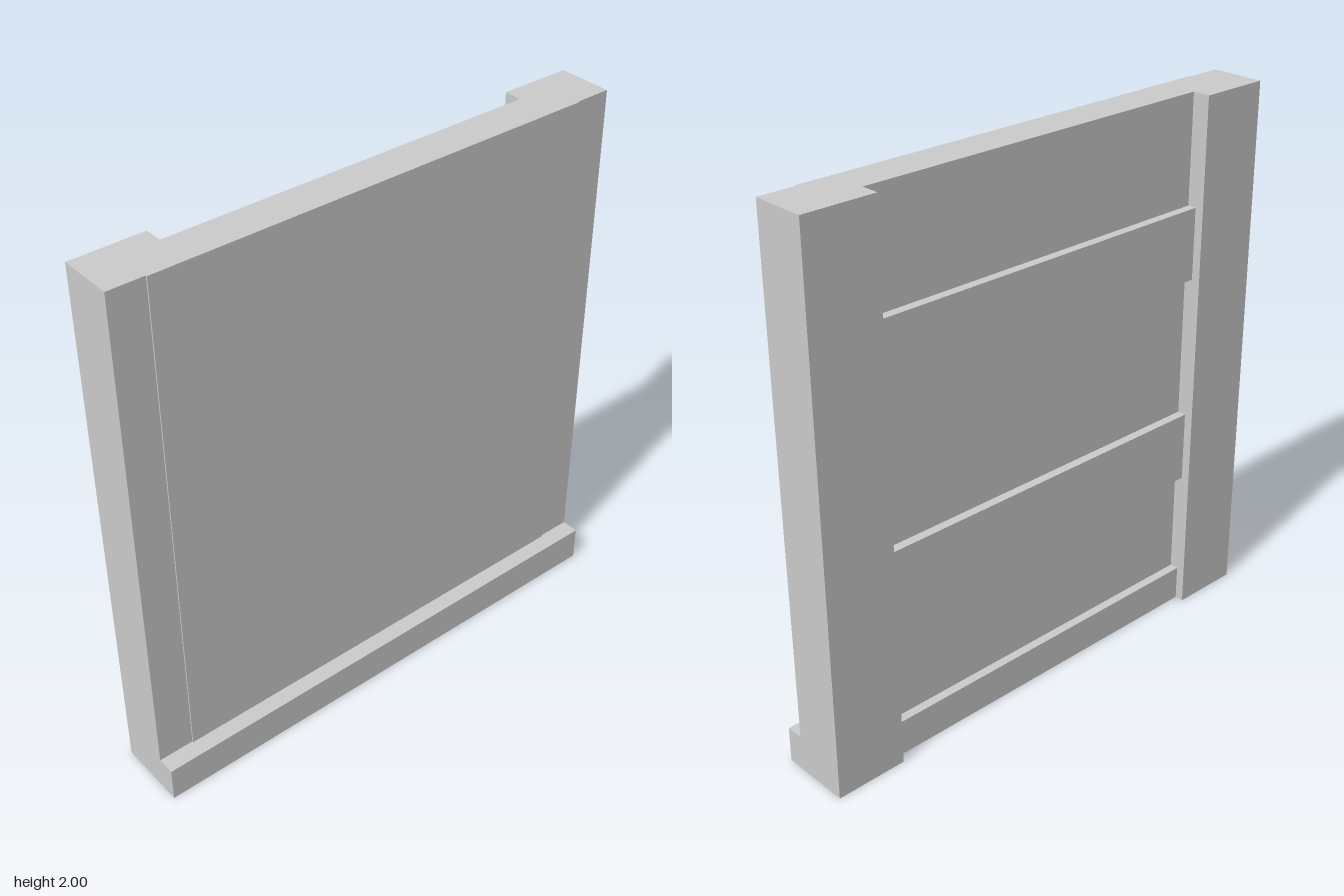
import * as THREE from 'three';

export function createModel() {
  const wall = new THREE.Group();
  wall.name = 'wallPanel';
  const material = new THREE.MeshStandardMaterial({ color: 0xcccccc, flatShading: true });

  // Box given by its extents along each axis
  function block(name, [x0, x1], [y0, y1], [z0, z1]) {
    const mesh = new THREE.Mesh(new THREE.BoxGeometry(x1 - x0, y1 - y0, z1 - z0), material);
    mesh.position.set((x0 + x1) / 2, (y0 + y1) / 2, (z0 + z1) / 2);
    mesh.name = name;
    wall.add(mesh);
  }

  const unit = 2 / 15; // board module
  const outer = 0.967, inner = 0.7;
  const postFront = 0.067, panelBack = -0.067;

  // Side posts
  block('leftPost', [inner, outer], [0, 2], [-0.133, postFront]);
  block('rightPost', [-outer, -inner], [0, 2], [-0.133, postFront]);

  // Panel between the posts, with a thin sheet lapping over their fronts
  block('panel', [-inner, inner], [0, 2], [panelBack, postFront]);
  block('frontSheet', [-0.835, 0.835], [unit, 2], [postFront, 0.072]);

  // Ledge along the foot of the front
  block('baseLedge', [-outer, outer], [0, unit], [postFront, 0.133]);

  // Horizontal slats across the back
  const slats = { bottomSlat: [0, 1], middleSlat: [4, 6], upperSlat: [10, 12] };
  for (const [name, [low, high]] of Object.entries(slats)) {
    block(name, [-inner, inner], [low * unit, high * unit], [-0.1, panelBack]);
  }

  return wall;
}
